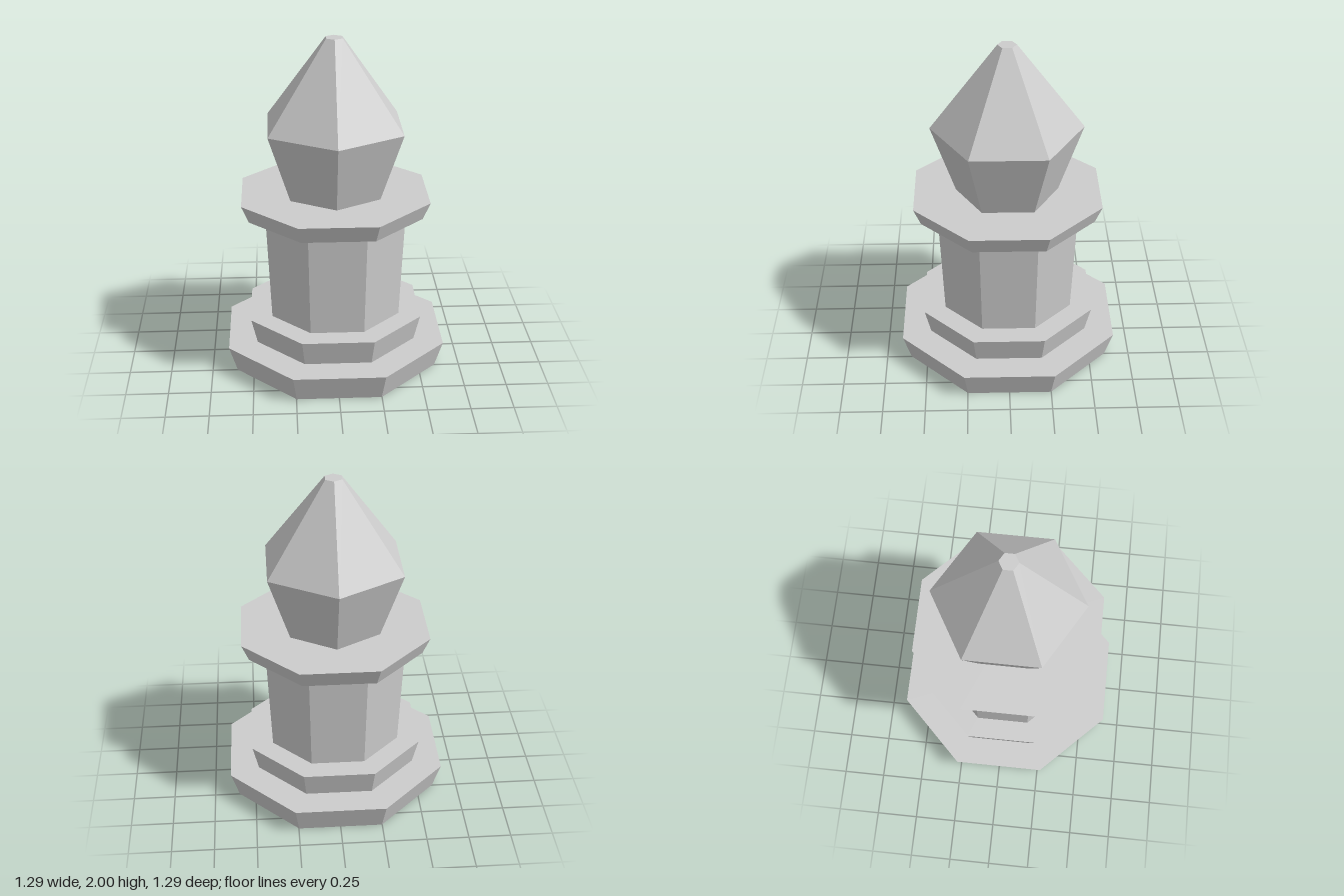
import * as THREE from 'three';

export function createModel() {
  const group = new THREE.Group();
  const stone = new THREE.MeshStandardMaterial({ color: 0xcccccc, flatShading: true });
  stone.name = 'pale grey stone';

  // Tapered prism between two heights, given corner radii
  function prism(name, sides, y0, y1, r0, r1, turn = 0) {
    const geometry = new THREE.CylinderGeometry(r1, r0, y1 - y0, sides, 1, false, turn);
    const mesh = new THREE.Mesh(geometry, stone);
    mesh.name = name;
    mesh.position.y = (y0 + y1) / 2;
    group.add(mesh);
  }

  // Octagonal tiers: [name, bottom y, top y, half width at bottom, half width at top]
  const toCorner = 1 / Math.cos(Math.PI / 8);
  const tiers = [
    ['lowerBase', 0, 0.16, 0.6, 0.647],
    ['upperBase', 0.16, 0.315, 0.475, 0.51],
    ['shaft', 0.315, 0.96, 0.383, 0.411],
    ['collar', 0.96, 1.065, 0.508, 0.549],
  ];
  for (const [name, y0, y1, w0, w1] of tiers) {
    prism(name, 8, y0, y1, w0 * toCorner, w1 * toCorner, Math.PI / 8);
  }

  // Hexagonal finial, with corners towards front and back
  prism('finialBowl', 6, 1.065, 1.48, 0.304, 0.448);
  prism('finialSpire', 6, 1.48, 2, 0.448, 0.055);

  return group;
}
